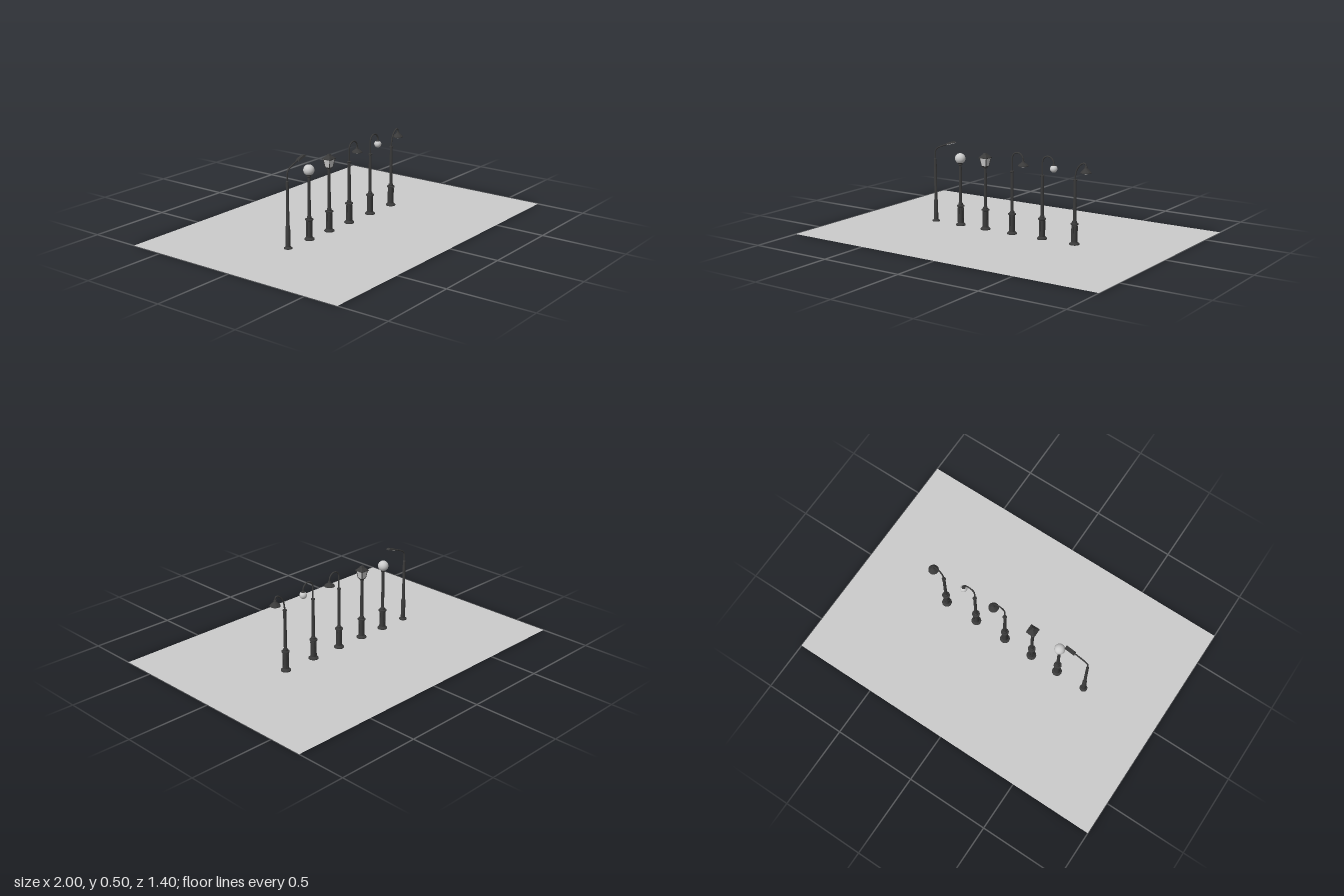
import * as THREE from 'three';
import { toCreasedNormals } from 'three/addons/utils/BufferGeometryUtils.js';

const V = (x, y, z = 0) => new THREE.Vector3(x, y, z);
const iron = new THREE.MeshStandardMaterial({ color: 0x3a3a3a, side: THREE.DoubleSide });
const grey = new THREE.MeshStandardMaterial({ color: 0xcccccc, side: THREE.DoubleSide });

function add(parent, name, geometry, material = iron) {
  const mesh = new THREE.Mesh(geometry, material);
  mesh.name = name;
  parent.add(mesh);
  return mesh;
}

// Turned part from [radius, height] pairs, bottom to top
function turned(profile, sides = 24) {
  const pts = profile.map(([r, y]) => new THREE.Vector2(r, y));
  return toCreasedNormals(new THREE.LatheGeometry(pts, sides), 0.6);
}

function globe(parent, x, y, r) {
  add(parent, 'globe', new THREE.SphereGeometry(r, 28, 18), grey).position.set(x, y, 0);
}

// Ornamental post shared by five of the lamps
function ornatePost(parent) {
  add(parent, 'post', turned([
    [0, 0], [0.029, 0], [0.029, 0.006], [0.022, 0.012], [0.018, 0.016],
    [0.017, 0.112], [0.023, 0.115], [0.023, 0.121], [0.014, 0.123],
    [0.013, 0.134], [0.0095, 0.137], [0.0085, 0.362], [0.012, 0.364],
    [0.012, 0.369], [0.006, 0.371], [0, 0.371]
  ]));
  // Raised ribs around the pedestal
  for (let i = 0; i < 8; i++) {
    const a = i * Math.PI / 4;
    const rib = add(parent, 'pedestalRib', new THREE.BoxGeometry(0.003, 0.088, 0.005));
    rib.position.set(Math.cos(a) * 0.0165, 0.062, Math.sin(a) * 0.0165);
    rib.rotation.y = -a;
  }
}

function tube(parent, name, curve, r) {
  add(parent, name, new THREE.TubeGeometry(curve, 40, r, 10));
}

// Straight riser, half-circle bend and short drop
function gooseneck(parent, reach, dropY) {
  const r = reach / 2, springY = 0.479 - r, pts = [V(0, 0.365), V(0, 0.40)];
  for (let i = 0; i <= 10; i++) {
    const a = Math.PI * (1 - i / 10);
    pts.push(V(r + Math.cos(a) * r, springY + Math.sin(a) * r));
  }
  pts.push(V(reach, dropY));
  tube(parent, 'gooseneck', new THREE.CatmullRomCurve3(pts), 0.0043);
}

// Bell-shaped shade whose rim sits at y
function shade(parent, x, y, tall) {
  add(parent, 'shade', turned([
    [0.030, y], [0.030, y + 0.003], [0.022, y + 0.007 + tall * 0.15],
    [0.012, y + tall * 0.6], [0.008, y + tall * 0.75], [0.007, y + tall], [0, y + tall]
  ])).position.x = x;
  const bulb = add(parent, 'bulb', new THREE.SphereGeometry(0.012, 20, 12), grey);
  bulb.position.set(x, y + 0.002, 0);
}

// Tapered post with a long arm and a tilted flat head
function roadLamp(g) {
  add(g, 'post', turned([
    [0, 0], [0.023, 0], [0.023, 0.005], [0.015, 0.011], [0.0135, 0.013],
    [0.0125, 0.128], [0.009, 0.134], [0.008, 0.38], [0.005, 0.383], [0, 0.383]
  ]));
  tube(g, 'arm', new THREE.CatmullRomCurve3([
    V(0, 0.375), V(0, 0.41), V(0.003, 0.432), V(0.016, 0.447), V(0.05, 0.463), V(0.094, 0.479)
  ]), 0.0043);
  const head = new THREE.Group();
  head.name = 'lampHead';
  head.position.set(0.117, 0.488, 0);
  head.rotation.z = 0.3;
  g.add(head);
  // Housing narrows towards its top
  const housing = new THREE.CylinderGeometry(0.7, 1, 1, 4, 1).rotateY(Math.PI / 4)
    .scale(0.046, 0.011, 0.017).toNonIndexed();
  housing.computeVertexNormals();
  add(head, 'housing', housing);
  add(head, 'lens', new THREE.BoxGeometry(0.05, 0.003, 0.018), grey).position.y = -0.006;
}

function globeLamp(g) {
  ornatePost(g);
  add(g, 'globeCup', turned([
    [0.007, 0.366], [0.010, 0.372], [0.019, 0.377], [0.019, 0.381], [0.008, 0.381]
  ]));
  globe(g, 0, 0.402, 0.031);
}

// Four-sided frustum with flat faces; half-widths at bottom and top
function square(bottom, top, h, y) {
  const geo = new THREE.CylinderGeometry(top * Math.SQRT2, bottom * Math.SQRT2, h, 4, 1)
    .rotateY(Math.PI / 4).translate(0, y + h / 2, 0).toNonIndexed();
  geo.computeVertexNormals();
  return geo;
}

function lanternLamp(g) {
  ornatePost(g);
  add(g, 'lanternFoot', square(0.008, 0.016, 0.010, 0.368));
  add(g, 'lanternGlass', square(0.0145, 0.0225, 0.046, 0.378), grey);
  add(g, 'lanternEaves', square(0.028, 0.028, 0.004, 0.424));
  add(g, 'lanternRoof', square(0.027, 0.010, 0.017, 0.428));
  add(g, 'lanternCap', square(0.011, 0.006, 0.008, 0.445));
  // Corner bars of the lantern frame
  for (const sx of [-1, 1]) for (const sz of [-1, 1]) {
    const bar = new THREE.LineCurve3(V(sx * 0.015, 0.377, sz * 0.015), V(sx * 0.023, 0.425, sz * 0.023));
    add(g, 'lanternBar', new THREE.TubeGeometry(bar, 1, 0.0022, 6));
  }
}

function shadeLamp(g) {
  ornatePost(g);
  gooseneck(g, 0.075, 0.425);
  shade(g, 0.075, 0.406, 0.03);
}

function smallGlobeLamp(g) {
  ornatePost(g);
  gooseneck(g, 0.074, 0.43);
  add(g, 'globeCap', turned([[0.013, 0.426], [0.011, 0.432], [0.006, 0.437], [0, 0.437]]))
    .position.x = 0.074;
  globe(g, 0.074, 0.413, 0.021);
}

function sweptLamp(g) {
  ornatePost(g);
  tube(g, 'sweptArm', new THREE.CatmullRomCurve3([
    V(0, 0.365), V(0.002, 0.395), V(0.012, 0.428), V(0.032, 0.454),
    V(0.053, 0.465), V(0.064, 0.462), V(0.068, 0.445)
  ]), 0.0043);
  shade(g, 0.068, 0.413, 0.036);
}

export function createModel() {
  const model = new THREE.Group();
  model.name = 'streetLamps';
  const ground = add(model, 'ground', new THREE.PlaneGeometry(2, 1.405).rotateX(-Math.PI / 2), grey);
  ground.position.y = 0.0005;
  const lamps = [
    ['roadLamp', roadLamp, -0.526], ['globeLamp', globeLamp, -0.342],
    ['lanternLamp', lanternLamp, -0.163], ['shadeLamp', shadeLamp, 0.024],
    ['smallGlobeLamp', smallGlobeLamp, 0.228], ['sweptLamp', sweptLamp, 0.441]
  ];
  for (const [name, build, x] of lamps) {
    const lamp = new THREE.Group();
    lamp.name = name;
    lamp.position.x = x;
    build(lamp);
    model.add(lamp);
  }
  return model;
}
